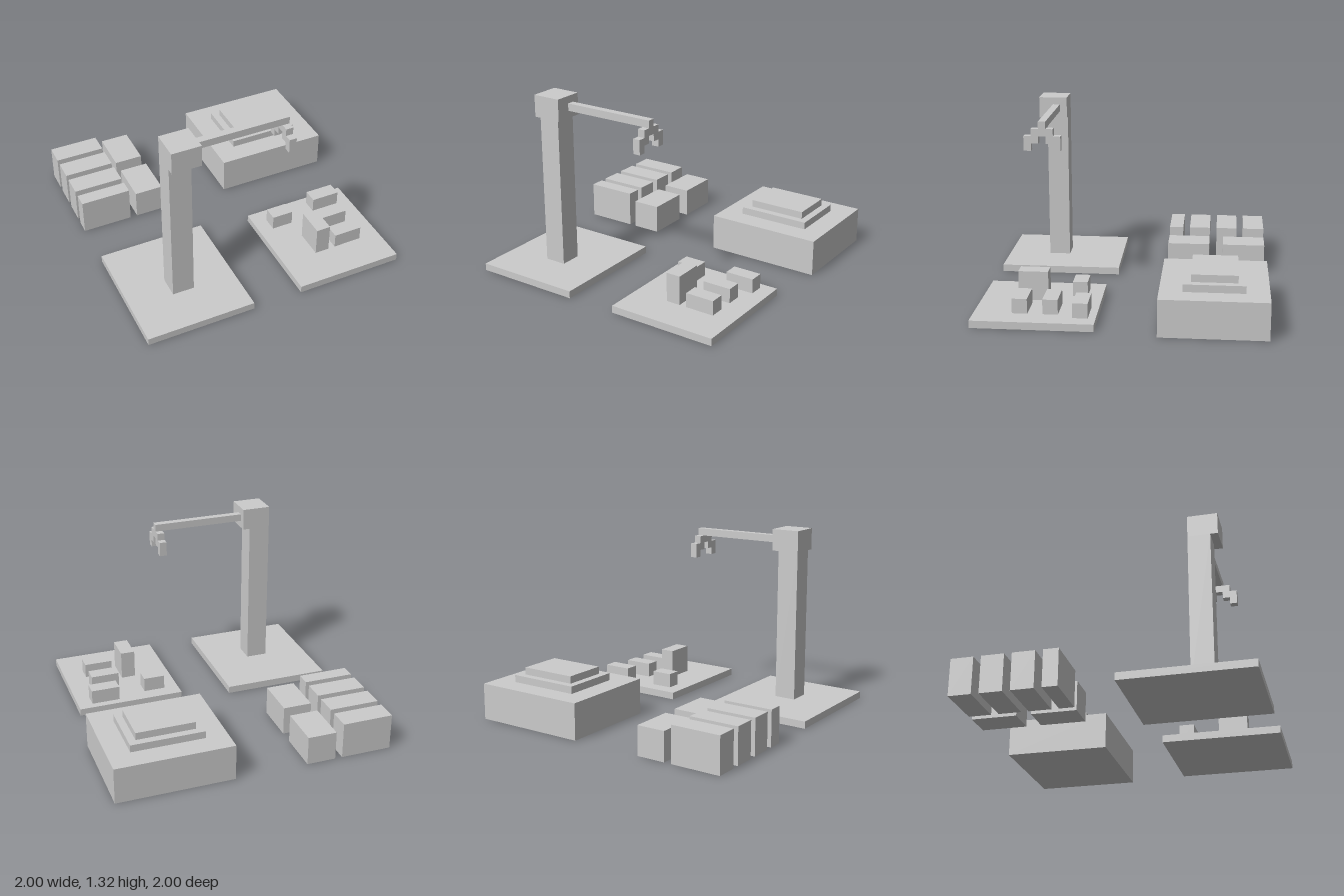
import * as THREE from 'three';

// The whole model sits on a 38-cell grid; one cell is 2/38 units.
const CELL = 2 / 38;

export function createModel() {
  const root = new THREE.Group();
  root.name = 'blockYardWithCrane';
  const material = new THREE.MeshStandardMaterial({ color: 0xcccccc, flatShading: true });

  const group = (name) => {
    const g = new THREE.Group();
    g.name = name;
    root.add(g);
    return g;
  };

  // Box between grid lines: x, y, z are [from, to] pairs in cells.
  const box = (parent, name, x, y, z) => {
    const size = [x, y, z].map(([a, b]) => (b - a) * CELL);
    const mesh = new THREE.Mesh(new THREE.BoxGeometry(...size), material);
    mesh.position.set(
      ((x[0] + x[1]) / 2) * CELL - 1,
      ((y[0] + y[1]) / 2) * CELL,
      ((z[0] + z[1]) / 2) * CELL - 1
    );
    mesh.name = name;
    parent.add(mesh);
  };

  // Crane: base plate, mast, head and arm
  const crane = group('crane');
  box(crane, 'craneBase', [0, 15], [0, 1], [21, 38]);
  box(crane, 'mast', [6, 9], [1, 22], [29, 32]);
  box(crane, 'craneHead', [6, 10], [22, 25], [29, 33]);
  box(crane, 'arm', [10, 23], [23, 24], [30, 31]);

  // Stepped claw under the arm's tip, mirrored about z = 30.5 cells
  box(crane, 'clawBridge', [22, 23], [22, 23], [29, 32]);
  for (const side of [-1, 1]) {
    const span = (a, b) => [30.5 + side * a, 30.5 + side * b].sort((p, q) => p - q);
    box(crane, 'clawShoulder', [22, 23], [21, 22], span(0.5, 2.5));
    box(crane, 'clawTip', [22, 23], [20, 21], span(1.5, 2.5));
  }

  // Sorting tray with loose blocks
  const tray = group('tray');
  box(tray, 'trayBase', [22, 37], [0, 1], [22, 38]);
  const loose = [
    [[24, 27], 3, [24, 26]],
    [[31, 35], 3, [23, 25]],
    [[30, 34], 3, [27, 29]],
    [[27, 29], 5, [29, 33]],
    [[30, 34], 3, [31, 33]],
  ];
  for (const [x, top, z] of loose) box(tray, 'looseBlock', x, [1, top], z);

  // Stepped platform
  const platform = group('platform');
  box(platform, 'platformBase', [22, 38], [0, 5], [0, 14]);
  box(platform, 'lowerStep', [25, 35], [5, 6], [3, 11]);
  box(platform, 'upperStep', [26, 34], [6, 7], [4, 10]);

  // Stacked storage: a row of tall blocks and a row of lower ones
  const storage = group('storage');
  for (const z of [[0, 3], [4, 7], [8, 11], [12, 14]]) box(storage, 'tallBlock', [0, 7], [0, 5], z);
  for (const z of [[0, 6], [8, 14]]) box(storage, 'lowBlock', [8, 12], [0, 4], z);

  return root;
}
